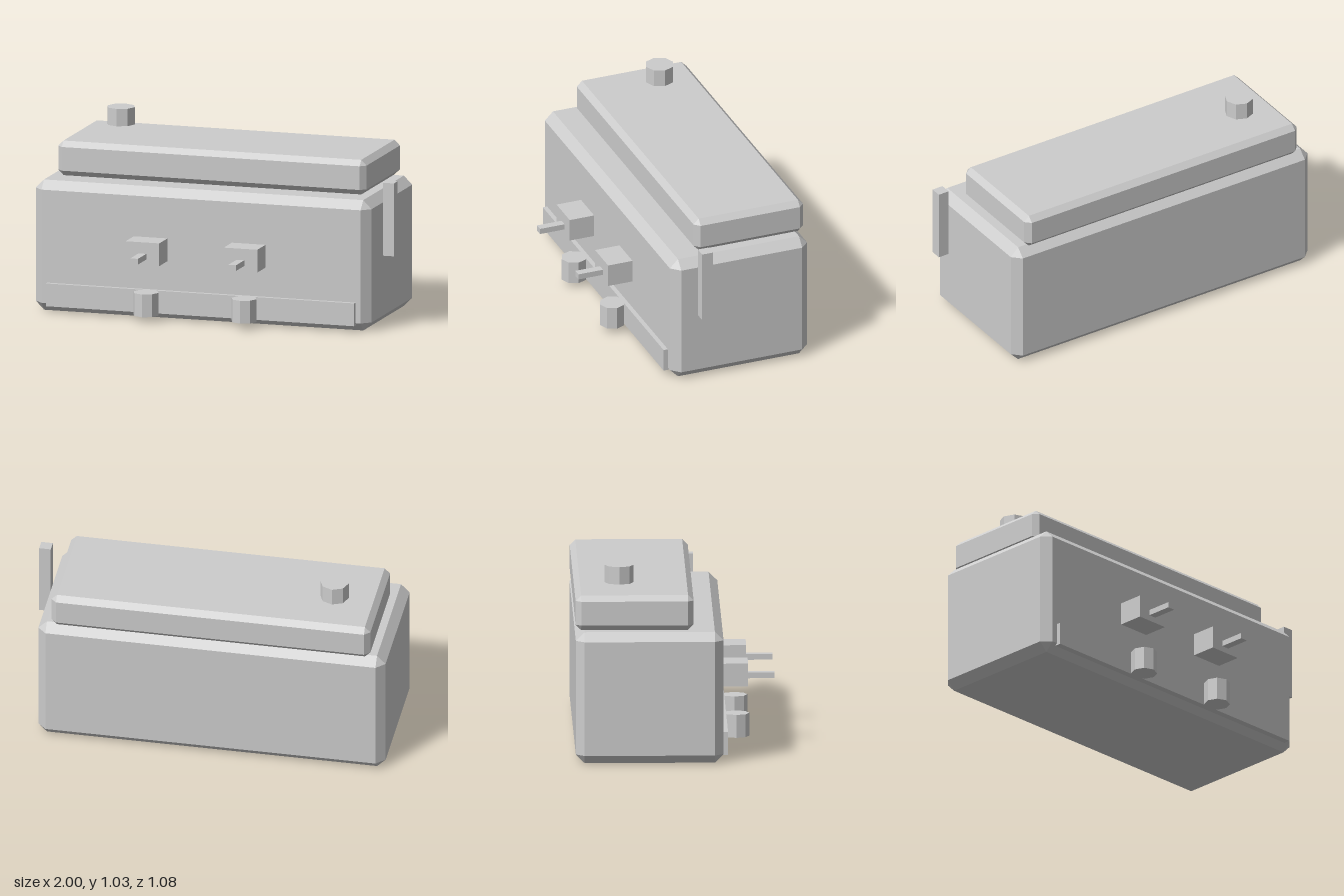
import * as THREE from 'three';
import { ConvexGeometry } from 'three/addons/geometries/ConvexGeometry.js';

const grey = new THREE.MeshStandardMaterial({ color: 0xcccccc, flatShading: true });
grey.name = 'light grey';

export function createModel() {
  const model = new THREE.Group();
  model.name = 'applianceBox';

  const add = (name, geometry, x, y, z) => {
    const mesh = new THREE.Mesh(geometry, grey);
    mesh.name = name;
    mesh.position.set(x, y, z);
    model.add(mesh);
  };

  // Plain box given by its extents on each axis
  const box = (name, [x0, x1], [y0, y1], [z0, z1]) =>
    add(name, new THREE.BoxGeometry(x1 - x0, y1 - y0, z1 - z0),
      (x0 + x1) / 2, (y0 + y1) / 2, (z0 + z1) / 2);

  // Box with every edge chamfered by c: three inset points at each corner
  const chamferBox = (name, [x0, x1], [y0, y1], [z0, z1], c) => {
    const half = [(x1 - x0) / 2, (y1 - y0) / 2, (z1 - z0) / 2];
    const points = [];
    for (const sx of [-1, 1]) for (const sy of [-1, 1]) for (const sz of [-1, 1]) {
      for (let axis = 0; axis < 3; axis++) {
        const [x, y, z] = half.map((h, i) => (i === axis ? h : h - c));
        points.push(new THREE.Vector3(sx * x, sy * y, sz * z));
      }
    }
    add(name, new ConvexGeometry(points), (x0 + x1) / 2, (y0 + y1) / 2, (z0 + z1) / 2);
  };

  // Upright eight-sided knob
  const knob = (name, r, [y0, y1], x, z) =>
    add(name, new THREE.CylinderGeometry(r, r, y1 - y0, 8), x, (y0 + y1) / 2, z);

  // Body and lid, flush at the back
  chamferBox('body', [-1, 0.9], [0, 0.715], [-0.54, 0.255], 0.047);
  chamferBox('lid', [-0.92, 0.825], [0.715, 0.905], [-0.54, 0.095], 0.03);

  // Knob above the lid and lever beside the body
  knob('topKnob', 0.078, [0.94, 1.035], -0.685, -0.302);
  box('sideLever', [0.937, 1], [0.4, 0.8], [0.065, 0.127]);

  // Strip along the front base
  box('frontStrip', [-0.92, 0.825], [0.035, 0.16], [0.23, 0.28]);

  // Two front stations: tap block, spout and knob
  for (const [side, x] of [['right', -0.335], ['left', 0.22]]) {
    box(side + 'TapBlock', [x - 0.095, x + 0.095], [0.32, 0.445], [0.25, 0.397]);
    box(side + 'Spout', [x - 0.022, x + 0.022], [0.352, 0.383], [0.39, 0.54]);
    knob(side + 'FrontKnob', 0.07, [0.035, 0.16], x, 0.335);
  }

  return model;
}
